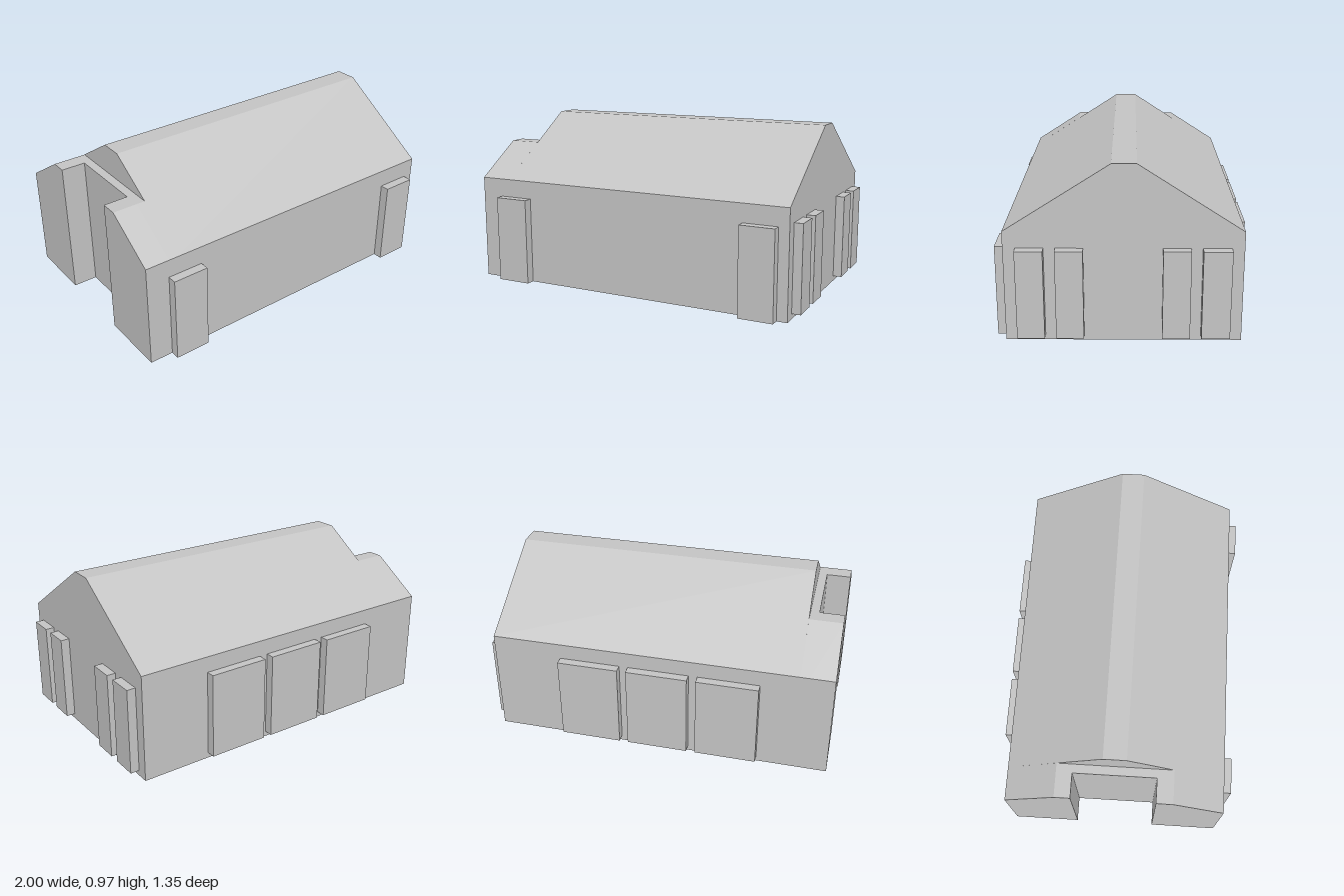
import * as THREE from 'three';

export function createModel() {
  const house = new THREE.Group();
  house.name = 'house';
  const grey = new THREE.MeshStandardMaterial({ color: 0xc4c4c4 });
  grey.name = 'plain grey';

  // Cross-section given as [z, y] corners, drawn out along x
  function section(name, corners, x0, x1) {
    const shape = new THREE.Shape(corners.map(([z, y]) => new THREE.Vector2(-z, y)));
    const geometry = new THREE.ExtrudeGeometry(shape, { depth: x1 - x0, bevelEnabled: false });
    geometry.rotateY(Math.PI / 2).translate(x0, 0, 0);
    const mesh = new THREE.Mesh(geometry, grey);
    mesh.name = name;
    house.add(mesh);
  }

  // Box given by its limits on each axis
  function panel(name, [x0, x1], [y0, y1], [z0, z1]) {
    const mesh = new THREE.Mesh(new THREE.BoxGeometry(x1 - x0, y1 - y0, z1 - z0), grey);
    mesh.position.set((x0 + x1) / 2, (y0 + y1) / 2, (z0 + z1) / 2);
    mesh.name = name;
    house.add(mesh);
  }

  const front = 0.62, back = -0.625, eave = 0.61, ridge = 0.97, step = 0.8;

  // Main hall with a flattened ridge
  section('mainHall', [[front, 0], [front, eave], [0.06, ridge], [-0.07, ridge], [back, eave], [back, 0]], -0.81, 0.95);

  // Lower end, cut flat, with a recess between two wings
  section('recessWall', [[front, 0], [front, eave], [0.325, step], [-0.33, step], [back, eave], [back, 0]], -0.86, -0.81);
  section('frontWing', [[front, 0], [front, eave], [0.325, step], [0.23, step], [0.23, 0]], -1, -0.86);
  section('backWing', [[-0.24, 0], [-0.24, step], [-0.33, step], [back, eave], [back, 0]], -1, -0.86);

  // Front doors reach the ground
  for (const x of [[-0.865, -0.66], [0.69, 0.89]]) panel('frontDoor', x, [0, 0.505], [front - 0.02, 0.672]);

  // Tall narrow windows on the gable end
  for (const z of [[0.41, 0.555], [0.205, 0.35], [-0.35, -0.205], [-0.56, -0.41]]) {
    panel('gableWindow', [0.93, 1], [0.03, 0.52], z);
  }

  // Three wide windows on the back
  for (const x of [-0.6, -0.2, 0.2]) panel('backWindow', [x, x + 0.35], [0.03, 0.52], [-0.675, back + 0.02]);

  return house;
}
